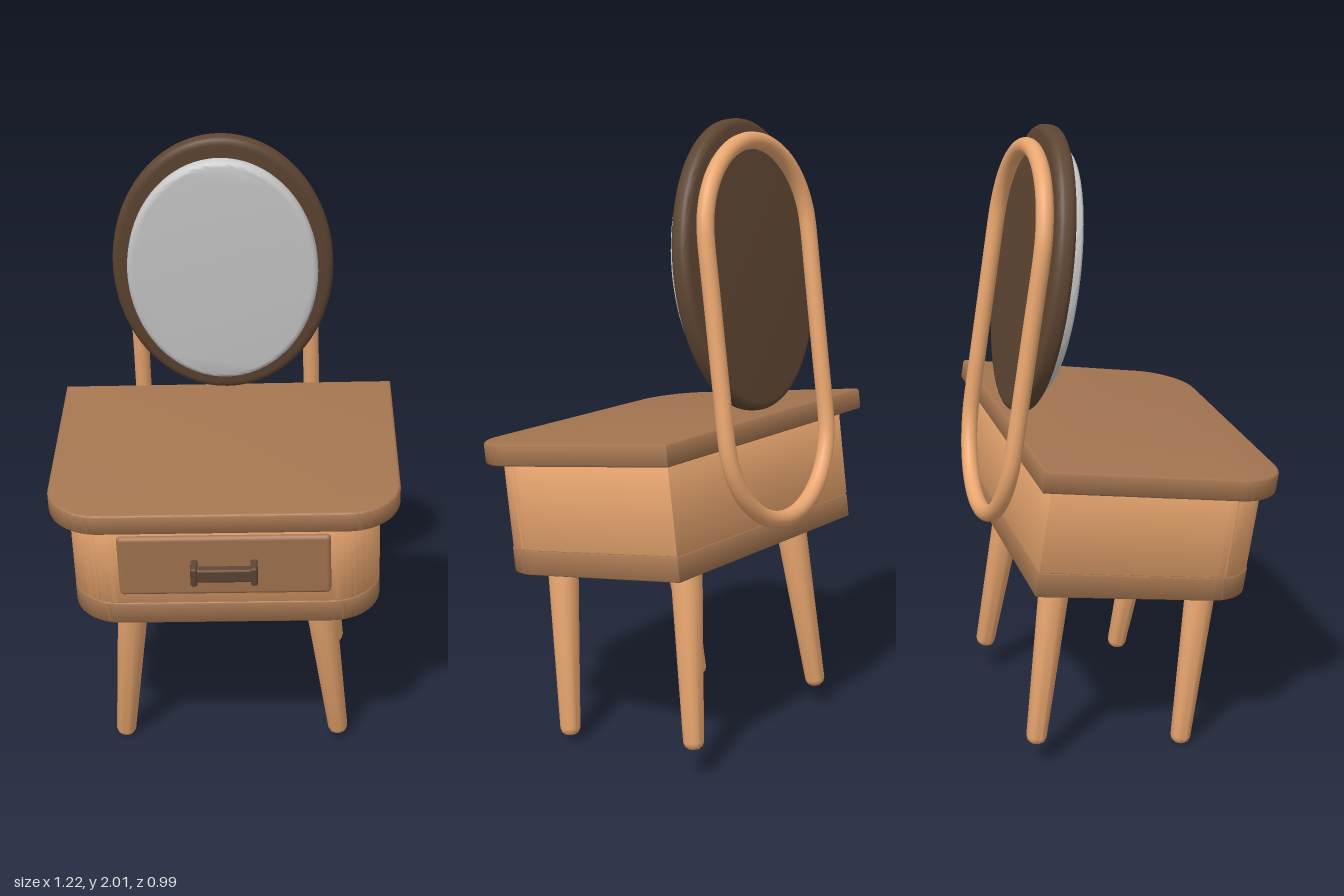
import * as THREE from 'three';
import { toCreasedNormals } from 'three/addons/utils/BufferGeometryUtils.js';
import { RoundedBoxGeometry } from 'three/addons/geometries/RoundedBoxGeometry.js';

const paint = (color) => new THREE.MeshStandardMaterial({ color });
const lightWood = paint(0xe9a66f);
const midWood = paint(0xa47550);
const darkWood = paint(0x5e4532);
const glass = paint(0xcccccc);

function part(parent, name, geometry, material, x = 0, y = 0, z = 0) {
  const mesh = new THREE.Mesh(geometry, material);
  mesh.name = name;
  mesh.position.set(x, y, z);
  parent.add(mesh);
  return mesh;
}

// Extrusion with a rounded rim that stays inside the outline; spans z = 0..depth
function bevelled(shape, depth, bevel, segments = 24) {
  const geometry = new THREE.ExtrudeGeometry(shape, {
    depth: depth - 2 * bevel, bevelThickness: bevel, bevelSize: bevel,
    bevelOffset: -bevel, bevelSegments: 4, curveSegments: segments,
  });
  geometry.translate(0, 0, bevel);
  return toCreasedNormals(geometry, 0.7);
}

// Horizontal board with square back corners and rounded front corners
function board(halfWidth, back, front, radius, height, bevel) {
  const w = halfWidth, r = radius;
  const s = new THREE.Shape();
  s.moveTo(-w, -back);
  s.lineTo(-w, -front + r);
  s.absarc(-w + r, -front + r, r, Math.PI, Math.PI * 1.5, false);
  s.lineTo(w - r, -front);
  s.absarc(w - r, -front + r, r, -Math.PI / 2, 0, false);
  s.lineTo(w, -back);
  s.closePath();
  return bevelled(s, height, bevel, 16).rotateX(-Math.PI / 2);
}

function ellipse(rx, ry) {
  const s = new THREE.Shape();
  s.absellipse(0, 0, rx, ry, 0, Math.PI * 2, false);
  return s;
}

// Closed stadium loop of tube
function hoop(halfWidth, bottom, top, radius) {
  const points = [];
  const n = 16;
  for (let i = 0; i <= n; i++) {
    const t = (i / n) * Math.PI;
    points.push(new THREE.Vector3(halfWidth * Math.cos(t), top - halfWidth + halfWidth * Math.sin(t), 0));
  }
  for (let i = 1; i < 4; i++) {
    const y = THREE.MathUtils.lerp(top - halfWidth, bottom + halfWidth, i / 4);
    points.push(new THREE.Vector3(-halfWidth, y, 0));
  }
  for (let i = 0; i <= n; i++) {
    const t = Math.PI + (i / n) * Math.PI;
    points.push(new THREE.Vector3(halfWidth * Math.cos(t), bottom + halfWidth + halfWidth * Math.sin(t), 0));
  }
  for (let i = 1; i < 4; i++) {
    const y = THREE.MathUtils.lerp(bottom + halfWidth, top - halfWidth, i / 4);
    points.push(new THREE.Vector3(halfWidth, y, 0));
  }
  return new THREE.TubeGeometry(new THREE.CatmullRomCurve3(points, true), 160, radius, 16, true);
}

export function createModel() {
  const root = new THREE.Group();
  root.name = 'dressingTable';

  // The whole table is turned and tipped slightly forward
  const tilt = new THREE.Group();
  tilt.name = 'tiltedTable';
  tilt.rotation.set(0.153, 0.205, 0);
  root.add(tilt);
  const table = new THREE.Group();
  table.name = 'table';
  table.position.x = 0.038;
  tilt.add(table);

  // Cabinet
  part(table, 'tableTop', board(0.557, -0.528, 0.277, 0.17, 0.07, 0.01), midWood, 0, 0.949, 0);
  part(table, 'cabinet', board(0.495, -0.48, 0.252, 0.16, 0.284, 0.004), lightWood, 0, 0.668, 0);
  part(table, 'cabinetBase', board(0.495, -0.48, 0.255, 0.16, 0.079, 0.006), midWood, 0, 0.589, 0);

  // Drawer and its pull
  part(table, 'drawerFront', new RoundedBoxGeometry(0.67, 0.22, 0.07, 3, 0.014), midWood, 0, 0.819, 0.233);
  const handle = new THREE.Group();
  handle.name = 'drawerHandle';
  handle.position.set(0, 0.813, 0);
  table.add(handle);
  part(handle, 'handleBar', new RoundedBoxGeometry(0.2, 0.048, 0.03, 3, 0.008), darkWood, 0, 0, 0.3);
  for (const side of [-1, 1]) {
    part(handle, 'handleEnd', new RoundedBoxGeometry(0.022, 0.066, 0.068, 3, 0.007), darkWood, side * 0.094, 0, 0.287);
  }

  // Tapered legs, splayed sideways, with rounded feet
  const length = 0.58;
  const profile = [[0, 0], [0.018, 0.003], [0.028, 0.011], [0.033, 0.025], [0.051, length], [0, length]]
    .map(([r, y]) => new THREE.Vector2(r, y));
  const legGeometry = toCreasedNormals(new THREE.LatheGeometry(profile, 24), 0.7);
  for (const side of [-1, 1]) {
    for (const z of [0.132, -0.364]) {
      const leg = part(table, z > 0 ? 'frontLeg' : 'backLeg', legGeometry, lightWood, side * 0.364 - 0.004, 0.022, z);
      leg.rotation.z = side * 0.105;
    }
  }

  // Mirror and the hoop that carries it
  part(table, 'mirrorFrame', bevelled(ellipse(0.362, 0.455), 0.062, 0.022, 48), darkWood, 0, 1.49, -0.526);
  part(table, 'mirrorGlass', bevelled(ellipse(0.312, 0.392), 0.06, 0.018, 48), glass, 0, 1.488, -0.485);
  part(table, 'mirrorHoop', hoop(0.289, 0.687, 1.872, 0.027), lightWood, -0.003, 0, -0.553);

  return root;
}
